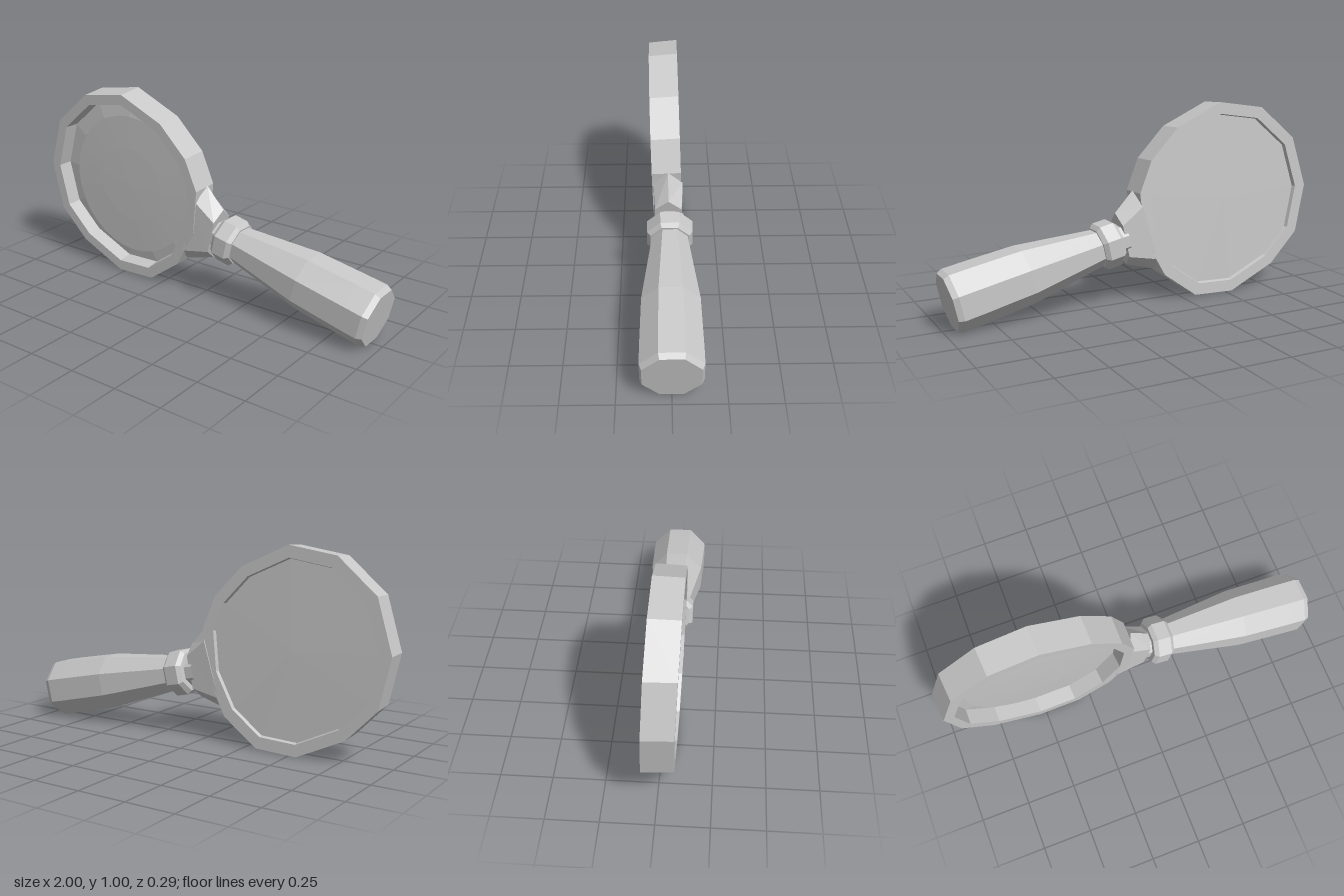
import * as THREE from 'three';

// Skin a series of equal-length point loops; collapsed loops close the ends.
function loft(loops) {
  const pos = [];
  const tri = (a, b, c) => {
    const n = b.clone().sub(a).cross(c.clone().sub(a));
    if (n.length() > 1e-9) for (const p of [a, b, c]) pos.push(p.x, p.y, p.z);
  };
  for (let k = 0; k < loops.length - 1; k++) {
    const lo = loops[k], hi = loops[k + 1], n = lo.length;
    for (let i = 0; i < n; i++) {
      const j = (i + 1) % n;
      tri(lo[i], lo[j], hi[j]);
      tri(lo[i], hi[j], hi[i]);
    }
  }
  const g = new THREE.BufferGeometry();
  g.setAttribute('position', new THREE.Float32BufferAttribute(pos, 3));
  g.computeVertexNormals();
  return g;
}

export function createModel() {
  const grey = new THREE.MeshStandardMaterial({ color: 0xc8c8c8, flatShading: true });
  grey.name = 'plain grey';
  const model = new THREE.Group();
  model.name = 'magnifyingGlass';
  const add = (parent, name, geometry) => {
    const m = new THREE.Mesh(geometry, grey);
    m.name = name;
    parent.add(m);
    return m;
  };

  // Lens head, leaning slightly forward
  const head = new THREE.Group();
  head.name = 'lensHead';
  head.position.set(-0.496, 0.5, 0.013);
  head.rotation.x = 0.03;
  model.add(head);

  // Slightly uneven many-sided outline, counterclockwise from the top
  const outline = [
    [0.03, 0.498], [-0.22, 0.46], [-0.42, 0.29], [-0.5, 0.03], [-0.445, -0.22], [-0.29, -0.38],
    [-0.04, -0.498], [0.18, -0.49], [0.36, -0.36], [0.47, -0.16], [0.495, 0.07], [0.43, 0.23], [0.28, 0.385],
  ];
  // Slices lean a little to one side through the thickness
  const slice = (s, z) => outline.map(([x, y]) => new THREE.Vector3(x * s + z * 0.05, y * s, z));
  const T = 0.0725; // half thickness of the rim
  add(head, 'rim', loft([
    slice(0.87, -T + 0.02), slice(0.88, -T), slice(1, -T), slice(0.988, T), slice(0.88, T), slice(0.87, T - 0.08),
  ]));
  add(head, 'lensBack', loft([slice(0, -T + 0.015), slice(0.88, -T + 0.02)]));
  add(head, 'lensFrontEdge', loft([slice(0.88, T - 0.08), slice(0.7, T - 0.067)]));
  // Shallow round bulge on the front of the lens
  const dome = add(head, 'lensFront', new THREE.LatheGeometry(
    [[0.375, 0], [0.2, 0.005], [0, 0.007]].map(([r, y]) => new THREE.Vector2(r, y)), 32));
  dome.rotation.x = Math.PI / 2;
  dome.position.set(0.015, -0.015, T - 0.067);

  // Handle assembly: local x runs along the handle, origin at the collar
  const grip = new THREE.Group();
  grip.name = 'handleAssembly';
  grip.position.set(0.152, 0.322, 0);
  grip.rotation.z = -0.218;
  model.add(grip);

  // Tapered bracket, ridged above and below, its root slanted to follow the rim
  const hex = (x, slant, ridge, shoulder, w) => [
    [ridge, 0], [shoulder, w], [-shoulder, w], [-ridge, 0], [-shoulder, -w], [shoulder, -w],
  ].map(([y, z]) => new THREE.Vector3(x + slant * y, y, z + 0.006));
  add(grip, 'bracket', loft([
    hex(-0.215, 0, 0, 0, 0),
    hex(-0.215, 0.08, 0.22, 0.145, 0.073),
    hex(-0.08, 0, 0.138, 0.083, 0.066),
    hex(-0.08, 0, 0, 0, 0),
  ]));

  // Eight-sided turned parts; profile entries are [flat-to-centre radius, distance along handle]
  const turned = (name, profile) => {
    const k = 1 / Math.cos(Math.PI / 8);
    const pts = profile.map(([r, y]) => new THREE.Vector2(r * k, y));
    add(grip, name, new THREE.LatheGeometry(pts, 8, Math.PI / 8)).rotation.z = -Math.PI / 2;
  };
  turned('neck', [[0.07, -0.1], [0.07, 0]]);
  turned('collar', [[0, -0.055], [0.095, -0.055], [0.112, -0.035], [0.112, 0.035], [0.095, 0.055], [0, 0.055]]);
  turned('handle', [[0, 0.04], [0.085, 0.04], [0.137, 0.45], [0.144, 0.72]]);
  turned('handleEnd', [[0.144, 0.72], [0.145, 0.81], [0.134, 0.838], [0, 0.838]]);

  return model;
}
